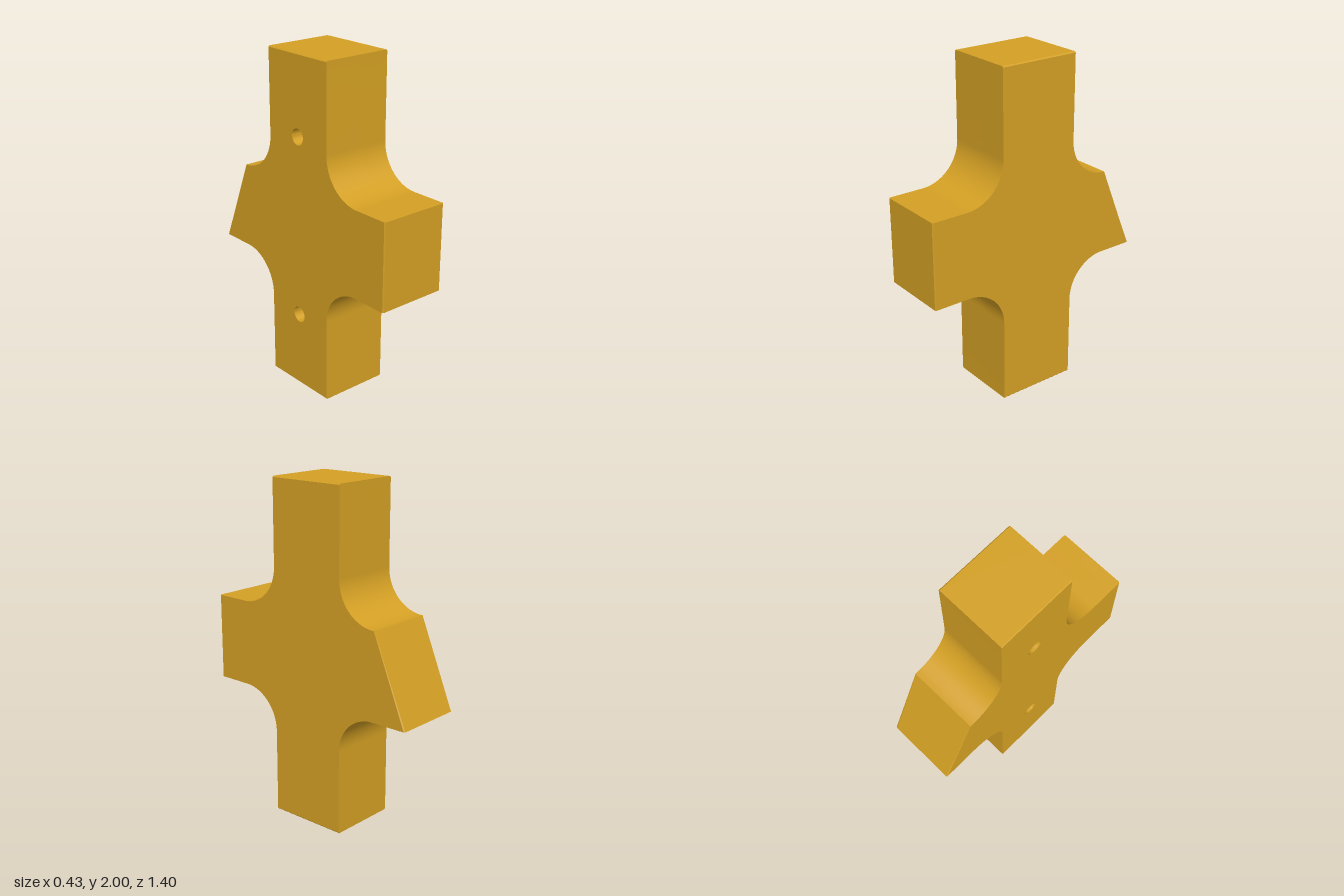
import * as THREE from 'three';
import { toCreasedNormals } from 'three/addons/utils/BufferGeometryUtils.js';

const HALF_WIDTH = 0.213;   // half thickness along x
const POST = 0.243;         // half depth of the upright arms
const ARM = 0.256;          // half height of the side arms
const REACH = 0.7;          // side arm ends
const FILLET = 0.24;
const BEVEL = 0.006;
const HOLE_DEPTH = 0.25;

// Cross outline with a concave fillet in each inner corner
function crossShape() {
  const shape = new THREE.Shape();
  const corners = [[1, 1], [-1, 1], [-1, -1], [1, -1]];
  corners.forEach(([sx, sy], i) => {
    const side = [sx * REACH, 1 + sy * ARM];
    const end = [sx * POST, 1 + sy];
    const [from, to] = i % 2 === 0 ? [side, end] : [end, side];
    if (i === 0) shape.moveTo(...from);
    else shape.lineTo(...from);
    const start = (i - 1) * Math.PI / 2;
    shape.absarc(sx * (POST + FILLET), 1 + sy * (ARM + FILLET), FILLET, start, start - Math.PI / 2, true);
    shape.lineTo(...to);
  });
  shape.closePath();
  return shape;
}

// One slab from x0 to x1; the arm ends are chamfered on its outer face
function slab(shape, x0, x1, outer) {
  const geo = new THREE.ExtrudeGeometry(shape, { depth: x1 - x0, steps: 2, curveSegments: 16, bevelEnabled: false });
  geo.rotateY(Math.PI / 2).translate(x0, 0, 0);
  const p = geo.attributes.position;
  const middle = (x0 + x1) / 2;
  for (let i = 0; i < p.count; i++) {
    const x = p.getX(i), y = p.getY(i), z = p.getZ(i);
    if (Math.abs(x - middle) < 1e-4) p.setX(i, outer - Math.sign(outer) * BEVEL);
    if (Math.abs(x - outer) < 1e-4) {
      if (Math.abs(y - 1) > 0.999) p.setY(i, y - Math.sign(y - 1) * BEVEL);
      if (Math.abs(z) > REACH - 0.001) p.setZ(i, z - Math.sign(z) * BEVEL);
    }
  }
  return toCreasedNormals(geo, 0.5);
}

export function createModel() {
  const group = new THREE.Group();
  group.name = 'crossBlock';
  const material = new THREE.MeshStandardMaterial({ color: 0xd4a024 });
  const add = (name, geometry) => {
    const mesh = new THREE.Mesh(geometry, material);
    mesh.name = name;
    group.add(mesh);
  };

  // Slab carrying the two blind holes
  const drilled = crossShape();
  for (const y of [0.46, 1.54]) {
    drilled.holes.push(new THREE.Path().absarc(0, y, 0.047, 0, Math.PI * 2, true));
  }
  const seam = -HALF_WIDTH + HOLE_DEPTH;
  add('drilledSide', slab(drilled, -HALF_WIDTH, seam, -HALF_WIDTH));

  // Solid slab that closes the holes
  add('solidSide', slab(crossShape(), seam, HALF_WIDTH, HALF_WIDTH));
  return group;
}
